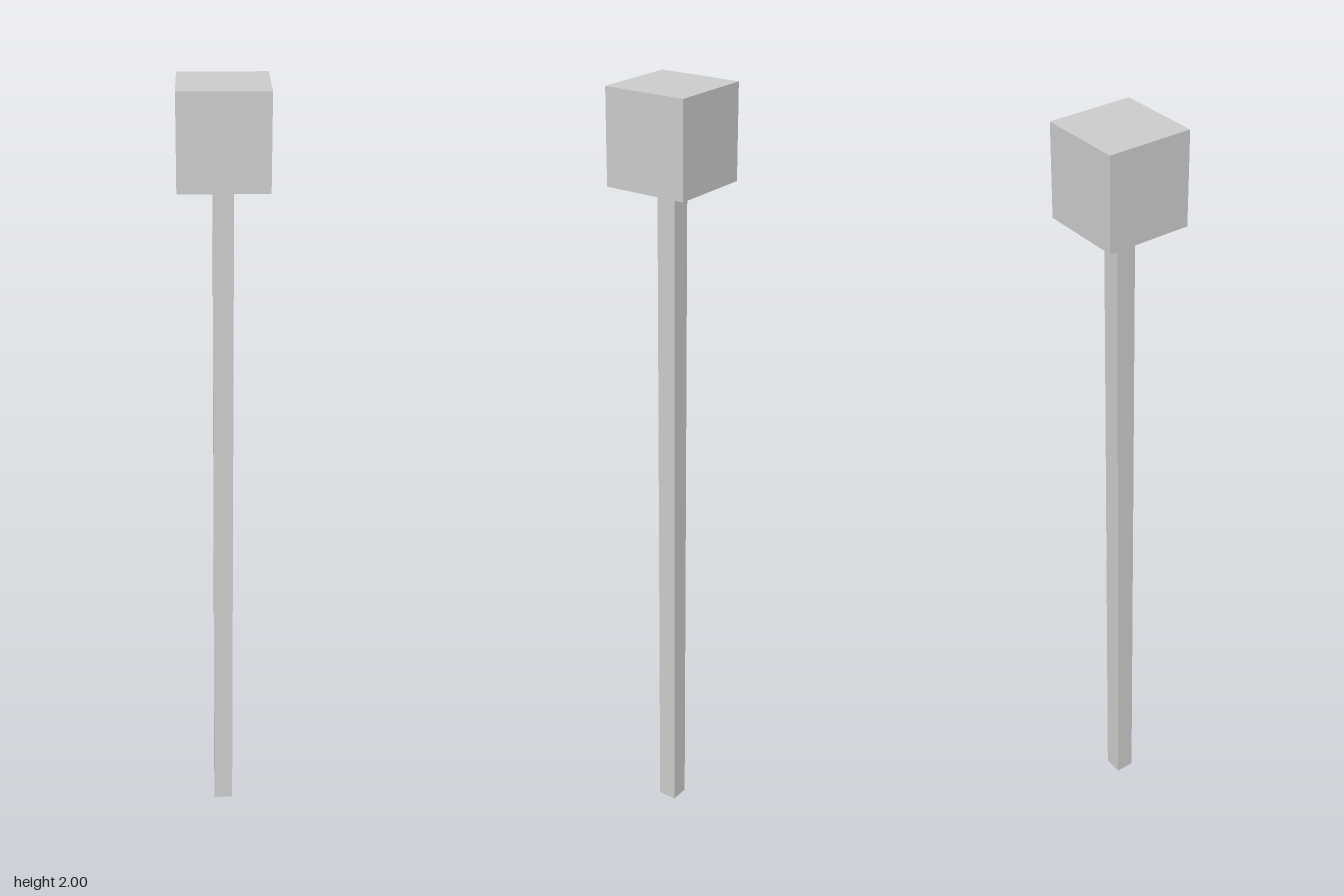
import * as THREE from 'three';

export function createModel() {
  const group = new THREE.Group();
  const material = new THREE.MeshStandardMaterial({ color: 0xcccccc, flatShading: true });

  // Square block standing from height y0 to y1
  const addBlock = (name, width, y0, y1) => {
    const mesh = new THREE.Mesh(new THREE.BoxGeometry(width, y1 - y0, width), material);
    mesh.name = name;
    mesh.position.y = (y0 + y1) / 2;
    group.add(mesh);
  };

  addBlock('post', 0.05, 0, 1.768);
  addBlock('head', 0.217, 1.768, 2);

  return group;
}
